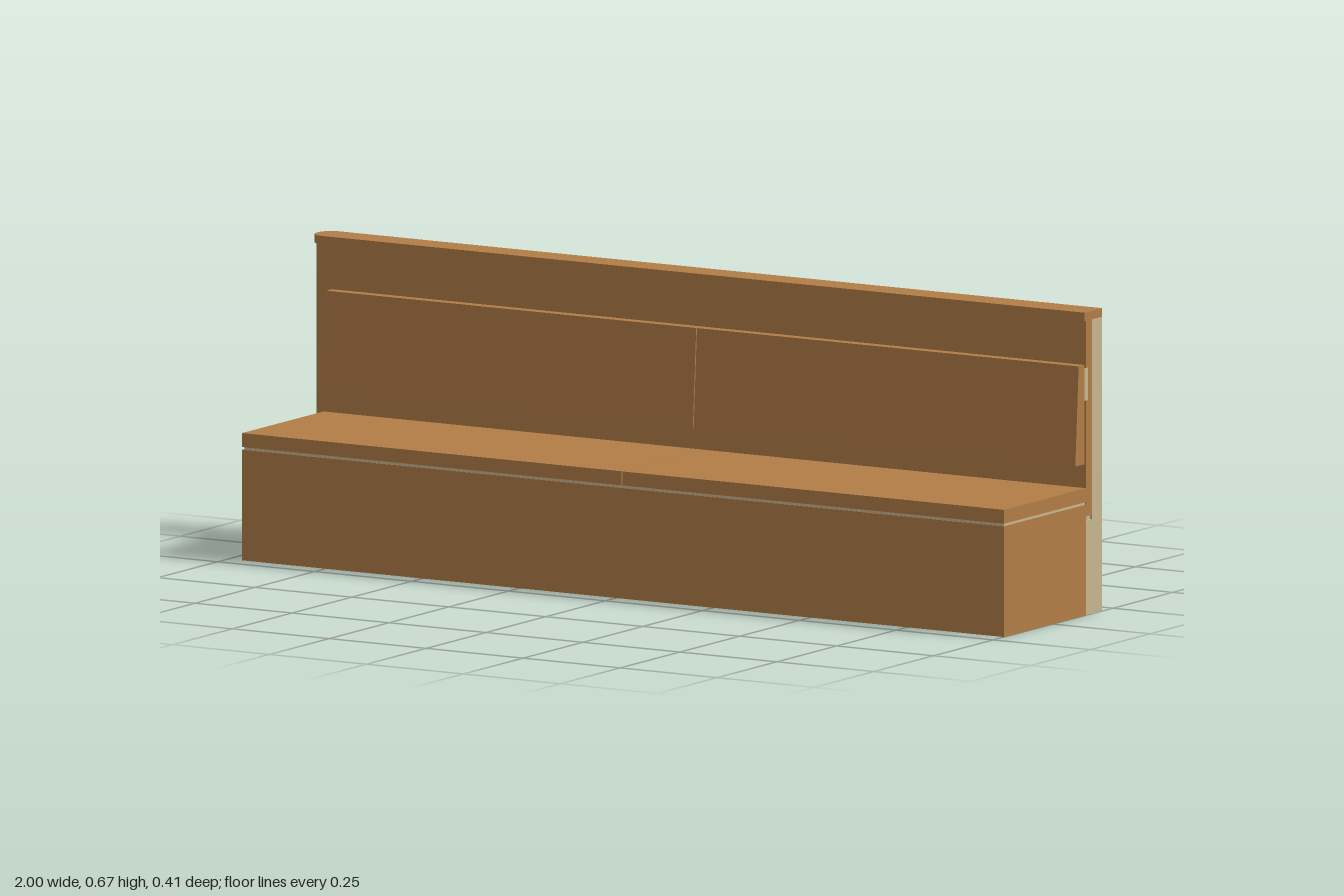
import * as THREE from 'three';

export function createModel() {
  const model = new THREE.Group();
  const wood = new THREE.MeshStandardMaterial({ color: 0xb27d47 });
  wood.name = 'warm wood';
  const ply = new THREE.MeshStandardMaterial({ color: 0xc8b790 });
  ply.name = 'pale plywood';

  const add = (name, geometry, material) => {
    const mesh = new THREE.Mesh(geometry, material);
    mesh.name = name;
    model.add(mesh);
    return mesh;
  };
  // Box given by its limits on each axis
  const box = (name, material, [x0, x1], [y0, y1], [z0, z1]) => {
    const g = new THREE.BoxGeometry(x1 - x0, y1 - y0, z1 - z0);
    g.translate((x0 + x1) / 2, (y0 + y1) / 2, (z0 + z1) / 2);
    return add(name, g, material);
  };
  // Side profile of [z, y] points, extruded along x
  const profile = (name, material, points, x0, x1) => {
    const shape = new THREE.Shape(points.map(([z, y]) => new THREE.Vector2(z, y)));
    const g = new THREE.ExtrudeGeometry(shape, { depth: x1 - x0, bevelEnabled: false });
    g.rotateY(-Math.PI / 2).translate(x1, 0, 0);
    return add(name, g, material);
  };
  // Plan shape with two rounded corners at its -x end, extruded upwards
  const roundedEnd = (name, [x0, x1], [y0, y1], [zBack, zFront], r) => {
    const s = new THREE.Shape();
    s.moveTo(x1, -zFront);
    s.lineTo(x1, -zBack);
    s.lineTo(x0 + r, -zBack);
    s.absarc(x0 + r, -zBack - r, r, Math.PI / 2, Math.PI, false);
    s.lineTo(x0, -zFront + r);
    s.absarc(x0 + r, -zFront + r, r, Math.PI, Math.PI * 1.5, false);
    s.closePath();
    const g = new THREE.ExtrudeGeometry(s, { depth: y1 - y0, bevelEnabled: false, curveSegments: 10 });
    g.rotateX(-Math.PI / 2).translate(0, y0, 0);
    return add(name, g, wood);
  };

  // Seat box, open at the back and below
  box('frontPanel', wood, [-0.94, 0.975], [0, 0.246], [0.19, 0.205]);
  box('sidePanelRight', wood, [-0.965, -0.94], [0, 0.246], [-0.137, 0.205]);
  box('sidePanelLeft', wood, [0.975, 1], [0, 0.246], [-0.137, 0.205]);

  // Pale shadow strip between the box and the seat
  box('stripFront', ply, [-0.96, 0.998], [0.246, 0.252], [0.175, 0.203]);
  box('stripRight', ply, [-0.96, -0.935], [0.246, 0.252], [-0.137, 0.175]);
  box('stripLeft', ply, [0.97, 0.998], [0.246, 0.252], [-0.137, 0.175]);

  // Seat and backrest cushions, each in two lengths
  const split = 0.015, gap = 0.001;
  for (const [x0, x1] of [[-0.965, split - gap], [split + gap, 1]])
    box('seat', wood, [x0, x1], [0.252, 0.283], [-0.137, 0.205]);
  const cushion = [[-0.131, 0.337], [-0.093, 0.337], [-0.107, 0.558], [-0.131, 0.558]];
  for (const [x0, x1] of [[-0.94, split - gap], [split + gap, 1]])
    profile('backCushion', wood, cushion, x0, x1);
  box('cushionCleat', ply, [-0.92, 1], [0.478, 0.55], [-0.137, -0.131]);
  box('cleatEnd', ply, [0.998, 1.001], [0.478, 0.55], [-0.145, -0.137]);

  // Back panel, rounded end post and top cap
  box('backPanel', wood, [-0.94, 1], [0.22, 0.655], [-0.163, -0.137]);
  roundedEnd('endPost', [-0.998, -0.94], [0, 0.655], [-0.204, -0.137], 0.032);
  roundedEnd('topCap', [-1, 1], [0.655, 0.674], [-0.205, -0.132], 0.034);

  // Dividers: end ones stop behind the seat box, inner ones run under the seat
  const upright = [[-0.204, 0], [-0.137, 0], [-0.137, 0.21], [-0.163, 0.21], [-0.163, 0.655], [-0.204, 0.655]];
  const inner = [[-0.204, 0], [0.19, 0], [0.19, 0.246], [-0.136, 0.246], [-0.136, 0.21],
    [-0.163, 0.21], [-0.163, 0.655], [-0.204, 0.655]];
  const thick = 0.016;
  for (let i = 0; i < 7; i++) {
    const x = -0.94 + i * (1.94 - thick) / 6;
    profile('divider', ply, i % 6 ? inner : upright, x, x + thick);
  }

  // Long rails tying the dividers together
  const span = [-0.935, 0.995];
  for (const [y0, y1] of [[0.617, 0.654], [0.43, 0.468], [0.252, 0.288]])
    box('backRail', ply, span, [y0, y1], [-0.174, -0.163]);
  box('panelRail', ply, span, [0.209, 0.22], [-0.163, -0.137]);
  box('floorRailBack', ply, span, [0.001, 0.02], [-0.163, -0.138]);
  box('floorRailFront', ply, [-0.94, 0.975], [0.001, 0.02], [0.165, 0.19]);
  box('seatRailFront', ply, [-0.94, 0.975], [0.225, 0.246], [0.172, 0.19]);
  box('seatRailBack', ply, [-0.94, 0.975], [0.225, 0.251], [-0.136, -0.115]);

  return model;
}
